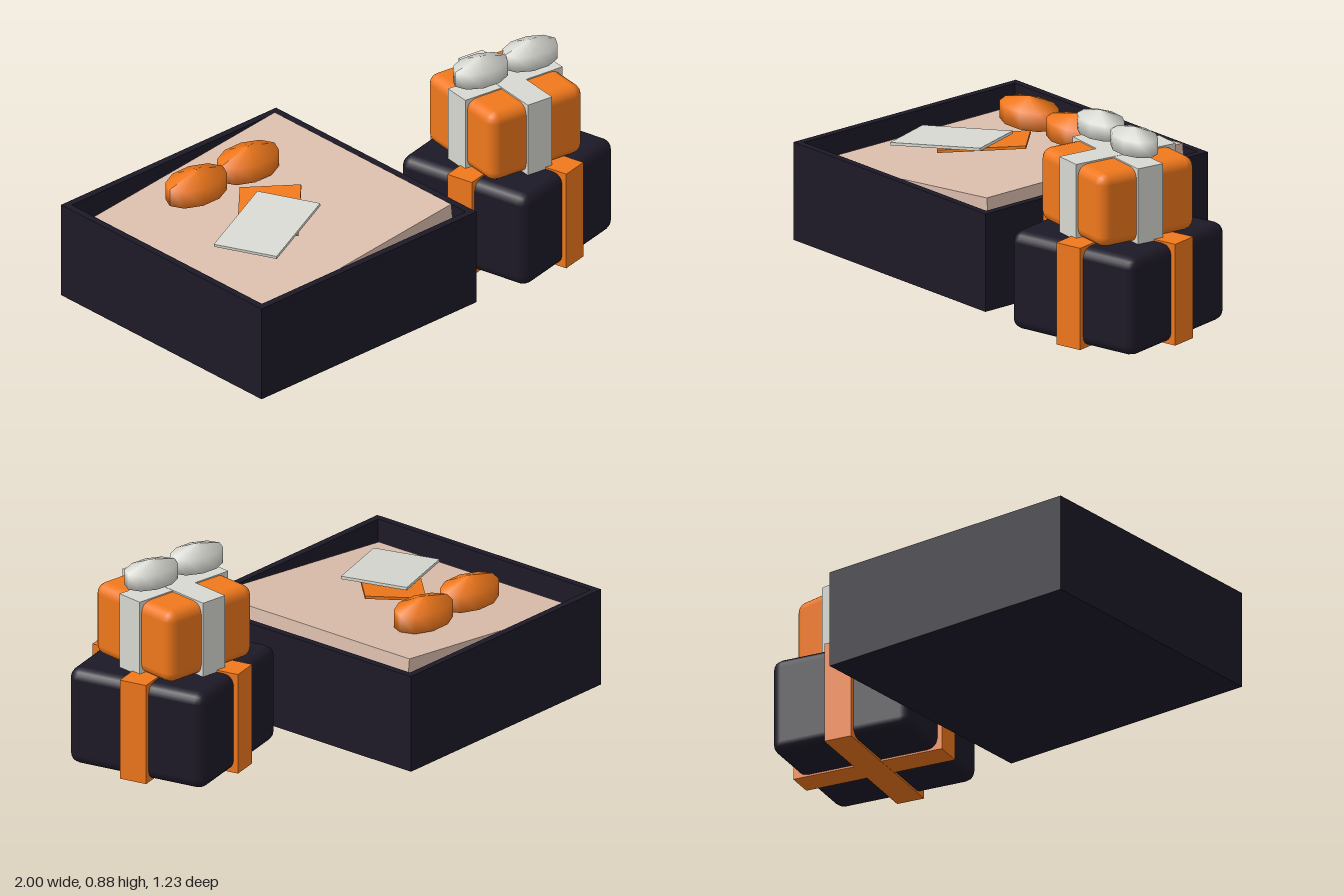
import * as THREE from 'three';
import { RoundedBoxGeometry } from 'three/addons/geometries/RoundedBoxGeometry.js';

const mat = (color) => new THREE.MeshStandardMaterial({ color });
const dark = mat(0x1d1927), orange = mat(0xf0781c), white = mat(0xd8d8d2), paper = mat(0xdbbdac);

function add(parent, name, geometry, material, x, y, z) {
  const mesh = new THREE.Mesh(geometry, material);
  mesh.name = name;
  mesh.position.set(x, y, z);
  parent.add(mesh);
  return mesh;
}

const box = (w, h, d) => new THREE.BoxGeometry(w, h, d);

// Two plump low-poly loops side by side
function makeBow(material, spacing, length, height, depth) {
  const bow = new THREE.Group();
  bow.name = 'bow';
  for (const side of [-1, 1]) {
    const loop = new THREE.SphereGeometry(1, 10, 3);
    loop.scale(length / 0.866, height, depth / 0.866);
    loop.computeVertexNormals();
    add(bow, side < 0 ? 'rightLoop' : 'leftLoop', loop, material, side * spacing / 2, 0, 0);
  }
  return bow;
}

// Wrapped box with two crossing ribbons
function makeGift(name, size, height, ribbonLength, ribbonHeight, boxMat, ribbonMat) {
  const gift = new THREE.Group();
  gift.name = name;
  add(gift, 'wrappedBox', new RoundedBoxGeometry(size, height, size, 2, 0.045), boxMat, 0, ribbonHeight / 2, 0);
  add(gift, 'ribbonLengthwise', box(0.12, ribbonHeight, ribbonLength), ribbonMat, 0, ribbonHeight / 2, 0);
  add(gift, 'ribbonCrosswise', box(ribbonLength, ribbonHeight - 0.002, 0.12), ribbonMat, 0, ribbonHeight / 2, 0);
  return gift;
}

function makeOpenBox() {
  const open = new THREE.Group();
  open.name = 'openBox';
  const size = 1.18, wall = 0.03, h = 0.415;

  // Tray: floor and four walls
  add(open, 'floor', box(size, 0.03, size), dark, 0, 0.025, 0);
  for (const s of [-1, 1]) {
    const offset = s * (size - wall) / 2;
    add(open, 'sideWall', box(wall, h, size), dark, offset, 0.01 + h / 2, 0);
    add(open, 'endWall', box(size - 2 * wall, h, wall), dark, 0, 0.01 + h / 2, offset);
  }

  // Tilted filling, higher on the left
  const filling = box(1.04, 0.15, 1.04);
  filling.translate(0, -0.075, 0);
  add(open, 'filling', filling, paper, 0, 0.405, 0).rotation.z = 0.105;

  // Tag and card lying on the filling
  const tag = new THREE.Group();
  tag.name = 'tag';
  tag.position.set(-0.045, 0.447, 0.05);
  tag.rotation.z = 0.105;
  add(tag, 'tagSheet', box(0.36, 0.012, 0.248), orange, 0, 0, 0).rotation.y = Math.PI / 4;
  open.add(tag);

  const card = new THREE.Group();
  card.name = 'card';
  card.position.set(-0.14, 0.458, 0.14);
  card.rotation.z = 0.105;
  add(card, 'cardSheet', box(0.41, 0.012, 0.28), white, 0, 0, 0).rotation.y = 0.375;
  open.add(card);

  const bow = makeBow(orange, 0.285, 0.145, 0.075, 0.095);
  bow.position.set(0, 0.47, -0.275);
  open.add(bow);
  return open;
}

export function createModel() {
  const model = new THREE.Group();
  model.name = 'giftSet';

  const open = makeOpenBox();
  open.position.set(-0.41, 0, -0.03);
  model.add(open);

  // Large gift below
  const large = makeGift('largeGift', 0.625, 0.415, 0.665, 0.432, dark, orange);
  large.position.set(0.637, 0, 0.25);
  large.rotation.y = 0.21;
  model.add(large);

  // Small gift on top, turned the other way
  const small = makeGift('smallGift', 0.46, 0.312, 0.48, 0.325, orange, white);
  small.position.set(0.63, 0.42, 0.247);
  small.rotation.y = -0.13;
  const bow = makeBow(white, 0.245, 0.125, 0.065, 0.082);
  bow.position.set(0, 0.395, 0);
  small.add(bow);
  model.add(small);

  return model;
}
